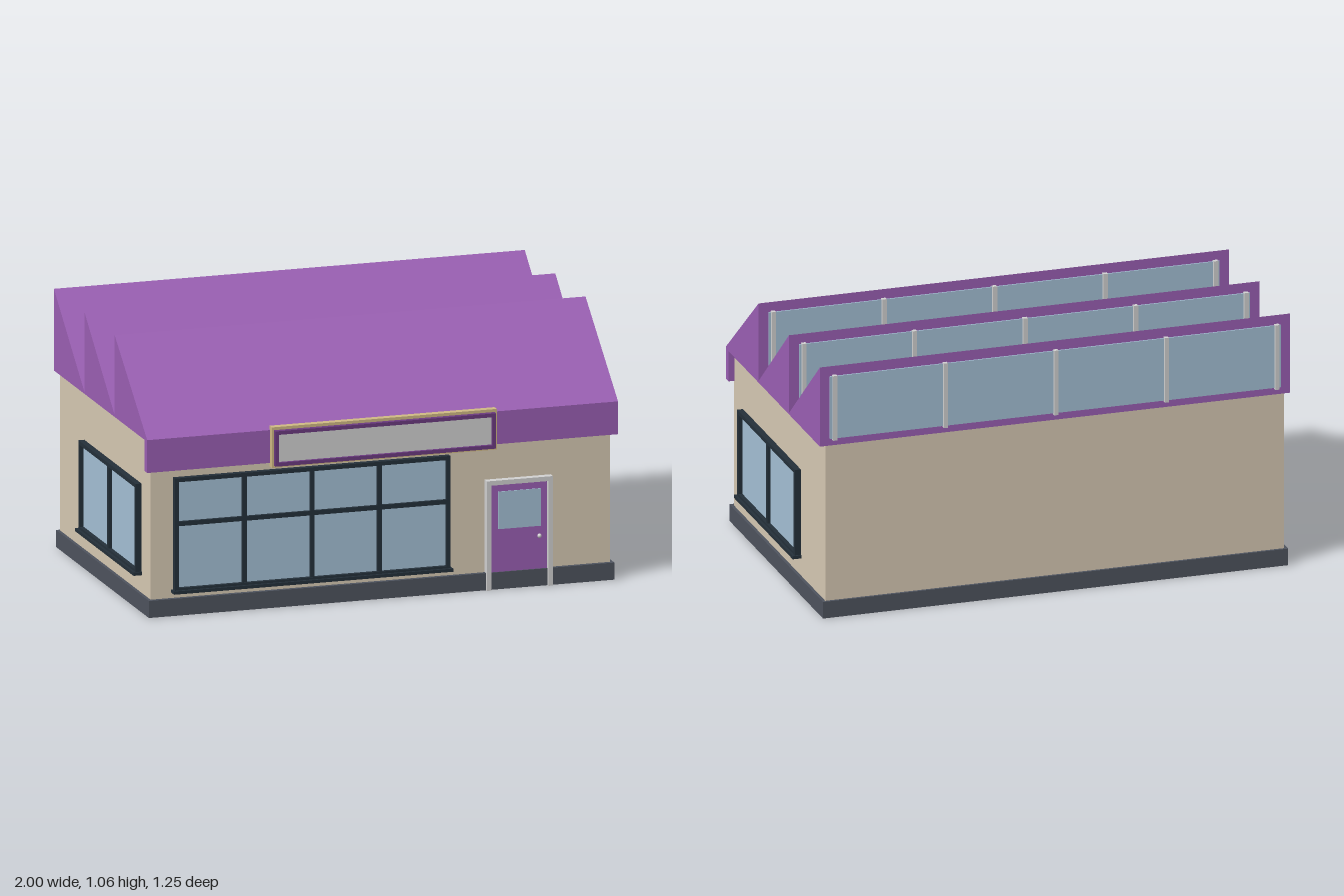
import * as THREE from 'three';

const paint = (name, color) => {
  const m = new THREE.MeshStandardMaterial({ color });
  m.name = name;
  return m;
};

export function createModel() {
  const wall = paint('beige wall', 0xd8cab4);
  const purple = paint('purple', 0x9b5fb4);
  const plum = paint('dark plum', 0x6b3a80);
  const slate = paint('slate base', 0x4e535e);
  const dark = paint('dark window frame', 0x24303a);
  const glass = paint('blue glass', 0xa5c1d6);
  const grey = paint('light grey', 0xd2d2d2);
  const gold = paint('gold trim', 0xd0ba84);

  const model = new THREE.Group();
  model.name = 'sawtoothShop';

  // Box given by its minimum and maximum on each axis
  function box(parent, name, mat, x0, x1, y0, y1, z0, z1) {
    const mesh = new THREE.Mesh(new THREE.BoxGeometry(x1 - x0, y1 - y0, z1 - z0), mat);
    mesh.position.set((x0 + x1) / 2, (y0 + y1) / 2, (z0 + z1) / 2);
    mesh.name = name;
    parent.add(mesh);
    return mesh;
  }
  function group(name) {
    const g = new THREE.Group();
    g.name = name;
    model.add(g);
    return g;
  }
  // Rectangular frame with an open middle, standing on z0 and facing +z
  function frame(parent, name, mat, x0, x1, y0, y1, z0, depth, t) {
    const s = new THREE.Shape([[x0, y0], [x1, y0], [x1, y1], [x0, y1]].map(p => new THREE.Vector2(...p)));
    s.holes.push(new THREE.Path([[x0 + t, y0 + t], [x0 + t, y1 - t], [x1 - t, y1 - t], [x1 - t, y0 + t]]
      .map(p => new THREE.Vector2(...p))));
    const mesh = new THREE.Mesh(new THREE.ExtrudeGeometry(s, { depth, bevelEnabled: false }), mat);
    mesh.position.z = z0;
    mesh.name = name;
    parent.add(mesh);
  }
  // Framed window facing +z with its back on z = 0
  function windowUnit(name, x0, x1, y0, y1, bars, transoms) {
    const g = group(name);
    box(g, 'pane', glass, x0 + 0.01, x1 - 0.01, y0 + 0.01, y1 - 0.01, -0.01, 0.008);
    frame(g, 'frame', dark, x0, x1, y0, y1, -0.005, 0.03, 0.016);
    for (const x of bars) box(g, 'mullion', dark, x - 0.009, x + 0.009, y0 + 0.01, y1 - 0.01, 0, 0.022);
    for (const y of transoms) box(g, 'transom', dark, x0 + 0.01, x1 - 0.01, y - 0.009, y + 0.009, 0, 0.021);
    box(g, 'sill', dark, x0 - 0.008, x1 + 0.008, y0 - 0.006, y0 + 0.007, -0.005, 0.036);
    return g;
  }

  // Body
  box(model, 'base', slate, -0.975, 0.975, 0, 0.07, -0.617, 0.568);
  box(model, 'walls', wall, -0.962, 0.962, 0.06, 0.734, -0.606, 0.55);

  // Sawtooth roof, profile drawn in z and y and extruded across x
  const teeth = [[0.58, 0.165], [0.165, -0.22], [-0.22, -0.61]];
  const low = 0.735, high = 1.064;
  const profile = [new THREE.Vector2(-0.61, 0.728), new THREE.Vector2(0.58, 0.728)];
  for (const [front, back] of teeth) {
    profile.push(new THREE.Vector2(front, low), new THREE.Vector2(back, high));
  }
  const roofGeo = new THREE.ExtrudeGeometry(new THREE.Shape(profile), { depth: 1.972, bevelEnabled: false });
  roofGeo.translate(0, 0, -0.986).rotateY(-Math.PI / 2);
  const roof = new THREE.Mesh(roofGeo, purple);
  roof.name = 'sawtoothRoof';
  model.add(roof);
  box(model, 'frontFascia', purple, -0.986, 0.986, 0.6, 0.73, 0.545, 0.58);

  // Rooflights on the upright back of each tooth
  for (const [, z] of teeth) {
    const g = group('rooflight');
    box(g, 'pane', glass, -0.945, 0.945, 0.758, 1.022, z - 0.006, z + 0.002);
    for (const x of [-0.927, -0.4635, 0, 0.4635, 0.927]) {
      box(g, 'mullion', grey, x - 0.009, x + 0.009, 0.753, 1.027, z - 0.018, z);
    }
  }

  // Shop window and side windows
  windowUnit('shopWindow', -0.868, 0.286, 0.098, 0.566, [-0.575, -0.291, -0.01], [0.377]).position.z = 0.55;
  for (const side of [1, -1]) {
    const a = -0.434 * side, b = 0.296 * side;
    const w = windowUnit('sideWindow', Math.min(a, b), Math.max(a, b), 0.15, 0.519, [-0.07 * side], []);
    w.rotation.y = side * Math.PI / 2;
    w.position.x = side * 0.962;
  }

  // Door
  const door = group('door');
  box(door, 'leaf', purple, 0.455, 0.696, 0.07, 0.43, 0.54, 0.562);
  box(door, 'pane', glass, 0.489, 0.667, 0.246, 0.4, 0.558, 0.566);
  box(door, 'leftJamb', grey, 0.695, 0.714, 0, 0.45, 0.54, 0.58);
  box(door, 'rightJamb', grey, 0.437, 0.456, 0, 0.45, 0.54, 0.58);
  box(door, 'lintel', grey, 0.456, 0.695, 0.431, 0.45, 0.54, 0.58);
  const knob = new THREE.Mesh(new THREE.SphereGeometry(0.009, 12, 8), grey);
  knob.name = 'knob';
  knob.position.set(0.661, 0.206, 0.568);
  door.add(knob);

  // Blank sign board with gold surround
  const sign = group('signBoard');
  box(sign, 'surround', gold, -0.472, 0.47, 0.585, 0.752, 0.575, 0.605);
  box(sign, 'panel', grey, -0.455, 0.452, 0.605, 0.73, 0.6, 0.613);
  frame(sign, 'rim', plum, -0.464, 0.46, 0.595, 0.74, 0.603, 0.024, 0.015);

  return model;
}
